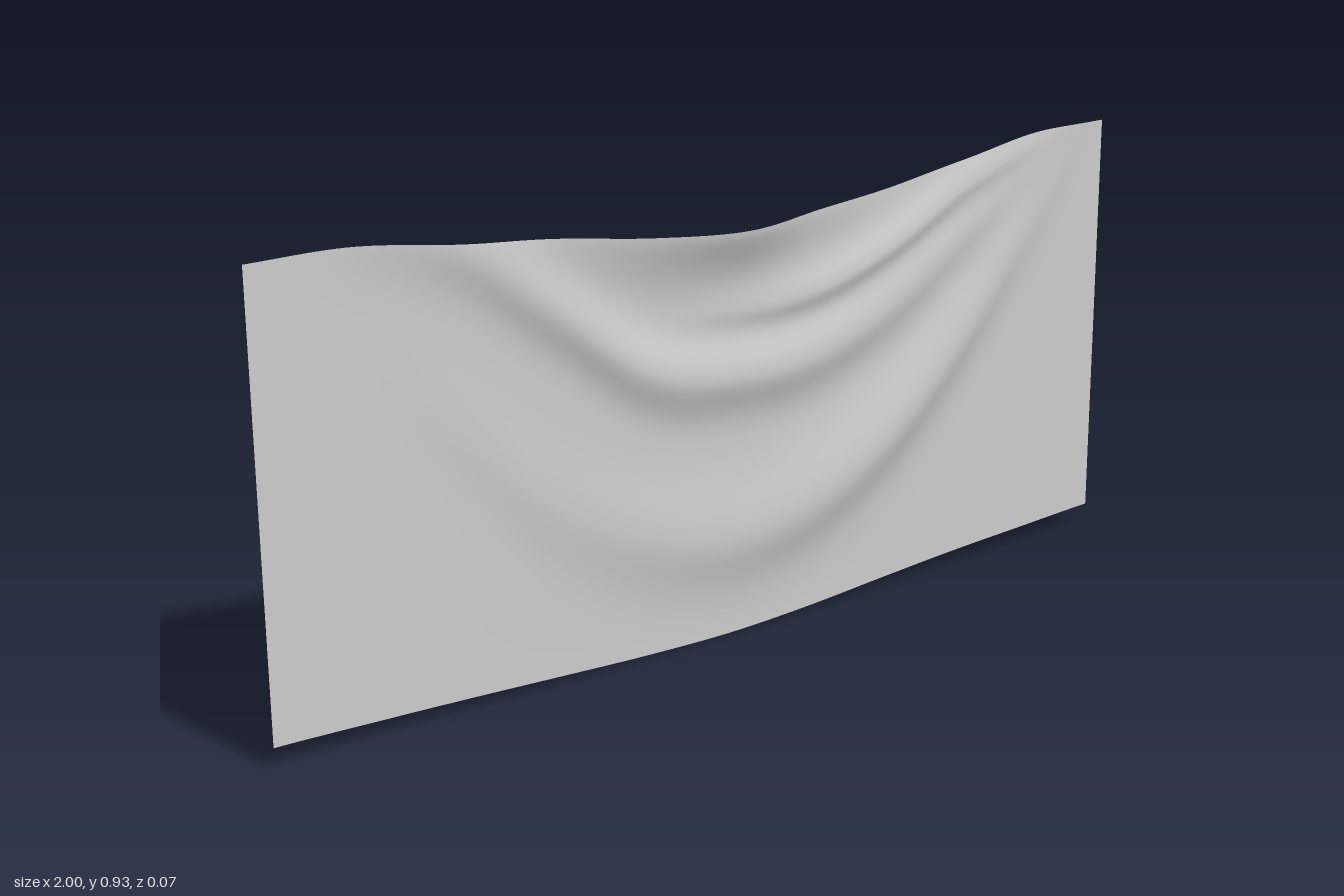
import * as THREE from 'three';

// Smooth curve through 11 heights spaced evenly from x = -1 to x = 1
function along(values) {
  const at = (i) => values[THREE.MathUtils.clamp(i, 0, 10)];
  return (x) => {
    const t = THREE.MathUtils.clamp((x + 1) * 5, 0, 10);
    const i = Math.min(Math.floor(t), 9), f = t - i;
    const a = at(i - 1), b = at(i), c = at(i + 1), d = at(i + 2);
    return b + 0.5 * f * (c - a + f * (2 * a - 5 * b + 4 * c - d + f * (3 * (b - c) + d - a)));
  };
}

// Sagging hems of the cloth
const topHem = along([0.925, 0.925, 0.902, 0.882, 0.858, 0.847, 0.853, 0.865, 0.895, 0.925, 0.925]);
const bottomHem = along([0.04, 0.032, 0.023, 0.013, 0.004, 0, 0.006, 0.018, 0.029, 0.037, 0.045]);

// Swags: height of the crest, how far it stands out, softness below and above it
const folds = [
  {
    crest: along([0.9, 0.76, 0.56, 0.36, 0.25, 0.21, 0.25, 0.36, 0.54, 0.76, 0.98]),
    depth: along([0, 0, 0.004, 0.008, 0.015, 0.023, 0.031, 0.034, 0.028, 0.012, 0]),
    below: 0.09, above: 0.12,
  },
  {
    crest: along([1, 0.96, 0.89, 0.74, 0.59, 0.55, 0.56, 0.63, 0.75, 0.88, 0.98]),
    depth: along([0, 0.002, 0.012, 0.022, 0.027, 0.029, 0.027, 0.023, 0.016, 0.005, 0]),
    below: 0.065, above: 0.08,
  },
  {
    crest: along([0.95, 0.9, 0.85, 0.8, 0.71, 0.68, 0.69, 0.75, 0.845, 0.91, 0.95]),
    depth: along([0, 0, 0, 0, 0, 0.01, 0.019, 0.019, 0.014, 0.004, 0]),
    below: 0.032, above: 0.055,
  },
];
// Forward roll of the slack top hem
const roll = along([0, 0.002, 0.006, 0.012, 0.033, 0.055, 0.021, 0.004, 0.002, 0, 0]);

function clothDepth(x, y) {
  const belly = (0.01 + 0.01 * THREE.MathUtils.smoothstep(y, 0, 0.5)) * Math.exp(-((x / 0.5) ** 2));
  let z = -0.036 - 0.003 * y + belly;
  for (const { crest, depth, below, above } of folds) {
    const d = y - crest(x);
    z += Math.max(0, depth(x)) * Math.exp(-((d / (d < 0 ? below : above)) ** 2));
  }
  const drop = Math.max(0, topHem(x) - y);
  return z + Math.max(0, roll(x)) * Math.exp(-((drop / 0.085) ** 1.5));
}

export function createModel() {
  const group = new THREE.Group();
  group.name = 'drapedCloth';

  // Flat sheet pulled into its hanging shape
  const geometry = new THREE.PlaneGeometry(2, 1, 180, 110);
  const pos = geometry.attributes.position;
  for (let i = 0; i < pos.count; i++) {
    const u = pos.getX(i), v = pos.getY(i) + 0.5;
    const x = u * (1 - 0.008 * v);
    const y = THREE.MathUtils.lerp(bottomHem(u), topHem(u), v);
    pos.setXYZ(i, x, y, clothDepth(x, y));
  }
  geometry.computeVertexNormals();

  const cloth = new THREE.Mesh(
    geometry,
    new THREE.MeshStandardMaterial({ color: 0xcccccc, side: THREE.DoubleSide })
  );
  cloth.name = 'clothSheet';
  group.add(cloth);
  return group;
}
